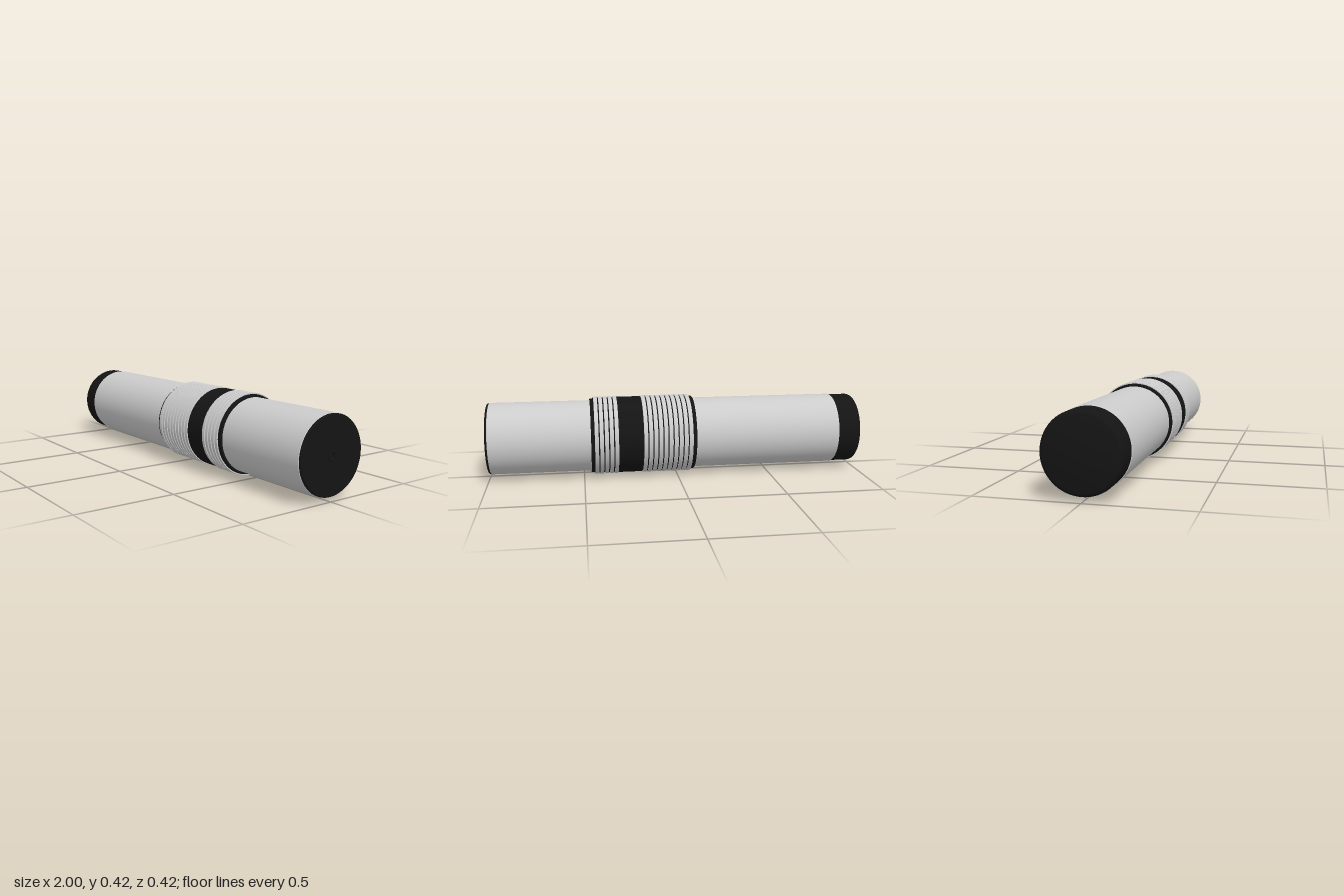
import * as THREE from 'three';
import { toCreasedNormals } from 'three/addons/utils/BufferGeometryUtils.js';

const AXIS_Y = 0.209;
const SEGMENTS = 96;
const metal = new THREE.MeshStandardMaterial({ color: 0xcccccc });
const black = new THREE.MeshStandardMaterial({ color: 0x141414 });

// Turned part along x; profile is a list of [x, radius] from -x to +x
function turned(name, profile, material) {
  const points = profile.map(([x, r]) => new THREE.Vector2(r, x));
  const lathe = new THREE.LatheGeometry(points, SEGMENTS);
  lathe.rotateZ(-Math.PI / 2);
  const mesh = new THREE.Mesh(toCreasedNormals(lathe, 0.5), material);
  mesh.name = name;
  return mesh;
}

// Closed cylinder with a small chamfer on both rims
function sleeve(name, x0, x1, r, material, c = 0.002) {
  return turned(name, [[x0, 0], [x0, r - c], [x0 + c, r], [x1 - c, r], [x1, r - c], [x1, 0]], material);
}

// Row of bright rings separated by narrow grooves over a dark core
function ringStack(name, x0, x1, count) {
  const group = new THREE.Group();
  group.name = name;
  group.add(sleeve('ringCore', x0, x1, 0.203, black));
  const pitch = (x1 - x0) / count;
  const gap = 0.006;
  for (let i = 0; i < count; i++) {
    const a = x0 + i * pitch + gap / 2;
    const b = a + pitch - gap;
    group.add(turned('ring', [[a, 0.195], [a, 0.208], [a + 0.001, 0.209],
      [b - 0.001, 0.209], [b, 0.208], [b, 0.195]], metal));
  }
  return group;
}

export function createModel() {
  const model = new THREE.Group();
  model.name = 'cylinderBody';
  const body = new THREE.Group();
  body.name = 'turnedParts';
  body.position.y = AXIS_Y;
  model.add(body);

  // Rear cap with a rounded rim
  body.add(turned('rearCap', [[-1, 0], [-1, 0.168], [-0.997, 0.176], [-0.99, 0.183],
    [-0.978, 0.187], [-0.87, 0.187], [-0.87, 0]], black));

  // Long and short tubes
  body.add(sleeve('longTube', -0.875, -0.085, 0.19, metal));
  body.add(sleeve('shortTube', 0.455, 0.987, 0.19, metal));

  // Central grip: collars, ring stacks and plain band
  body.add(sleeve('rearCollar', -0.093, -0.073, 0.2, black));
  body.add(ringStack('longRingStack', -0.075, 0.19, 10));
  body.add(sleeve('gripBand', 0.188, 0.317, 0.205, black));
  body.add(ringStack('shortRingStack', 0.315, 0.445, 5));
  body.add(sleeve('frontCollar', 0.443, 0.461, 0.2, black));

  // Front end plate with a raised central boss and a small hole
  body.add(turned('endPlate', [[0.98, 0], [0.98, 0.188], [0.993, 0.188], [0.998, 0.184],
    [0.998, 0.025], [1, 0.023], [1, 0.017], [0.99, 0.015], [0.99, 0]], black));

  return model;
}
